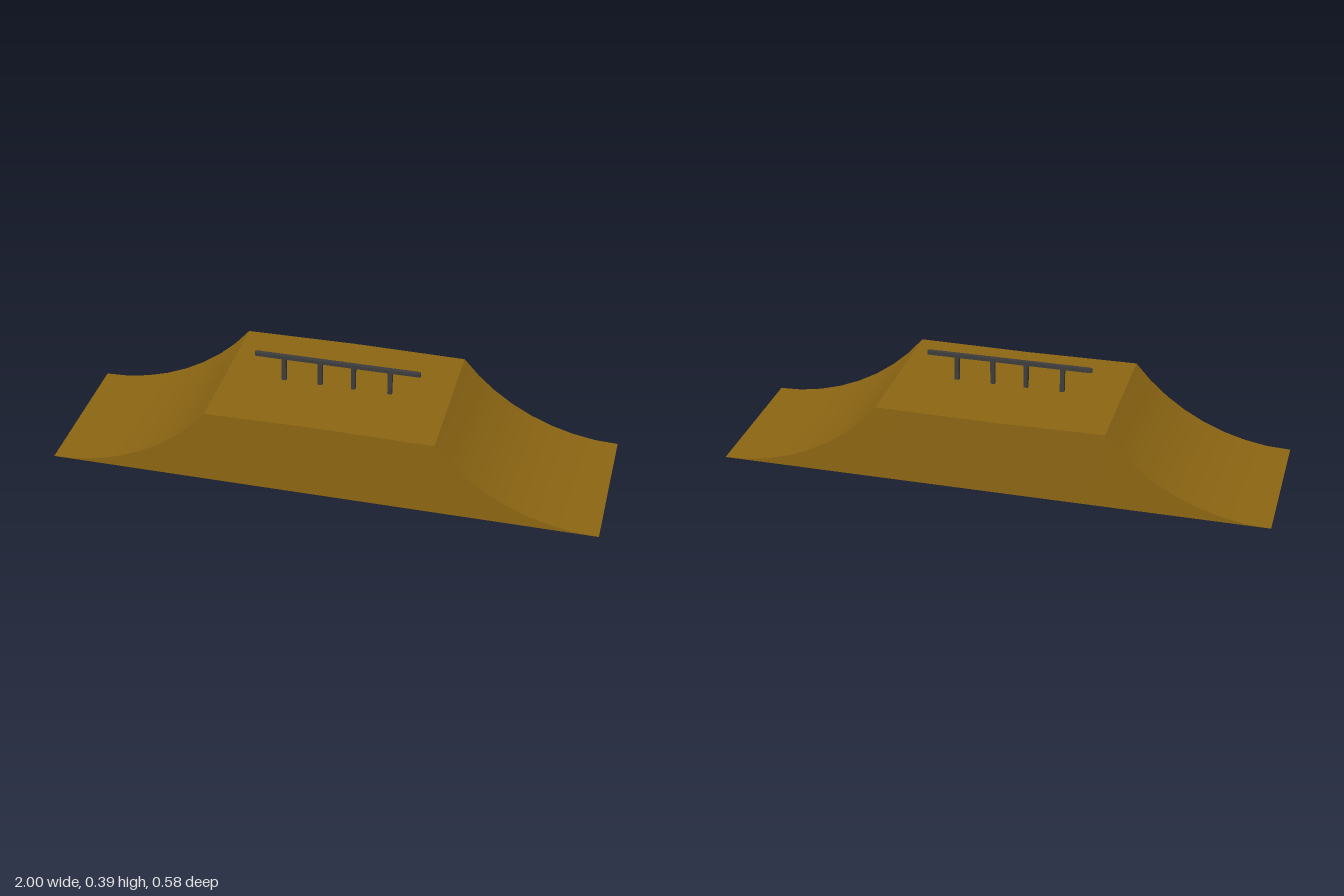
import * as THREE from 'three';
import { toCreasedNormals } from 'three/addons/utils/BufferGeometryUtils.js';

const DECK_Y = 0.284, DECK_X = 0.413, DEPTH = 0.57, Z0 = 0.004;

// Box whose columns follow arc - flat deck - arc
function rampGeometry() {
  const run = 1 - DECK_X;
  const radius = (run * run + DECK_Y * DECK_Y) / (2 * DECK_Y);
  const sweep = Math.asin(run / radius);
  const steps = 8;
  const half = [[0, DECK_Y]];
  for (let i = 0; i <= steps; i++) {
    const a = sweep * (1 - i / steps);
    half.push([1 - radius * Math.sin(a), Math.max(0.001, radius * (1 - Math.cos(a)))]);
  }
  const profile = [...half.slice(1).reverse().map(([x, y]) => [-x, y]), ...half];

  const columns = profile.length - 1;
  const geometry = new THREE.BoxGeometry(2, 1, DEPTH, columns, 1, 1);
  const p = geometry.attributes.position;
  for (let i = 0; i < p.count; i++) {
    const [x, h] = profile[Math.round((p.getX(i) + 1) / 2 * columns)];
    const top = p.getY(i) > 0;
    // The upper edge leans slightly backward at mid length
    const lean = top ? 0.007 * Math.max(0, 1 - Math.abs(x) / DECK_X) : 0;
    p.setXYZ(i, x, top ? h : 0, p.getZ(i) + Z0 - lean);
  }
  return toCreasedNormals(geometry, Math.PI / 6);
}

// Flat bar with rounded ends
function railGeometry(length, width, height) {
  const r = width / 2, e = length / 2 - r;
  const shape = new THREE.Shape();
  shape.moveTo(-e, -r);
  shape.lineTo(e, -r);
  shape.absarc(e, 0, r, -Math.PI / 2, Math.PI / 2, false);
  shape.lineTo(-e, r);
  shape.absarc(-e, 0, r, Math.PI / 2, Math.PI * 1.5, false);
  return new THREE.ExtrudeGeometry(shape, { depth: height, bevelEnabled: false, curveSegments: 6 })
    .rotateX(-Math.PI / 2);
}

export function createModel() {
  const model = new THREE.Group();
  model.name = 'skateRamp';
  const wood = new THREE.MeshStandardMaterial({ color: 0x8b6512 });
  const metal = new THREE.MeshStandardMaterial({ color: 0x3c3c3c });

  const add = (name, geometry, material, x = 0, y = 0, z = 0) => {
    const mesh = new THREE.Mesh(geometry, material);
    mesh.name = name;
    mesh.position.set(x, y, z);
    model.add(mesh);
  };

  add('ramp', rampGeometry(), wood);

  // Grind rail on four posts
  add('rail', railGeometry(0.61, 0.016, 0.014), metal, 0, 0.372, 0.005);
  const postHeight = 0.093;
  const post = new THREE.BoxGeometry(0.016, postHeight, 0.016);
  for (const x of [-0.197, -0.063, 0.06, 0.194]) {
    add('railPost', post, metal, x, 0.281 + postHeight / 2, 0.005);
  }
  return model;
}
